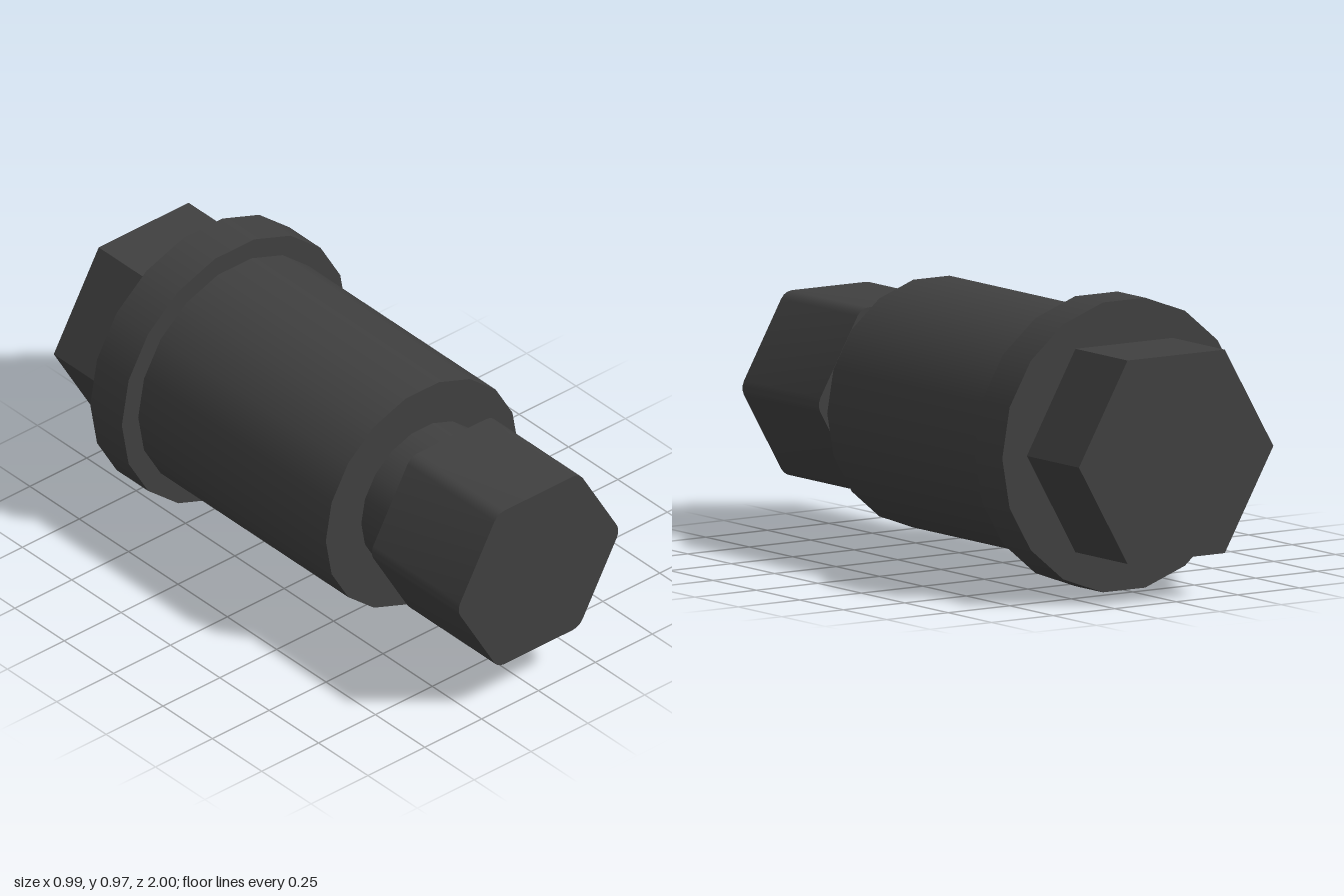
import * as THREE from 'three';
import { toCreasedNormals } from 'three/addons/utils/BufferGeometryUtils.js';

const AXIS_Y = 0.488;

export function createModel() {
  const group = new THREE.Group();
  const smooth = new THREE.MeshStandardMaterial({ color: 0x404040 });
  const flat = new THREE.MeshStandardMaterial({ color: 0x404040, flatShading: true });

  function add(name, geometry, material, z) {
    const mesh = new THREE.Mesh(geometry, material);
    mesh.name = name;
    mesh.position.set(0, AXIS_Y, z);
    group.add(mesh);
  }

  // Prism along z from z0 to z1, with a corner on the x axis
  function prism(name, radius, sides, z0, z1, material) {
    const geometry = new THREE.CylinderGeometry(radius, radius, z1 - z0, sides, 1, false, Math.PI / 2);
    geometry.rotateX(Math.PI / 2);
    add(name, geometry, material, (z0 + z1) / 2);
  }

  prism('hexHead', 0.395, 6, -1, -0.7, flat);
  prism('flange', 0.495, 18, -0.7, -0.54, smooth);
  prism('barrel', 0.423, 18, -0.54, 0.41, smooth);
  prism('neck', 0.267, 18, 0.41, 0.56, smooth);

  // Hexagonal tip with rounded corners
  const round = 0.05;
  const centre = 0.359 - round / Math.cos(Math.PI / 6);
  const points = [];
  for (let corner = 0; corner < 6; corner++) {
    const a = corner * Math.PI / 3;
    for (const degrees of [-30, -10, 10, 30]) {
      const b = a + THREE.MathUtils.degToRad(degrees);
      points.push(new THREE.Vector2(
        centre * Math.cos(a) + round * Math.cos(b),
        centre * Math.sin(a) + round * Math.sin(b)
      ));
    }
  }
  const tip = new THREE.ExtrudeGeometry(new THREE.Shape(points), { depth: 0.44, bevelEnabled: false });
  add('roundedHexTip', toCreasedNormals(tip, 0.6), smooth, 0.56);

  return group;
}
